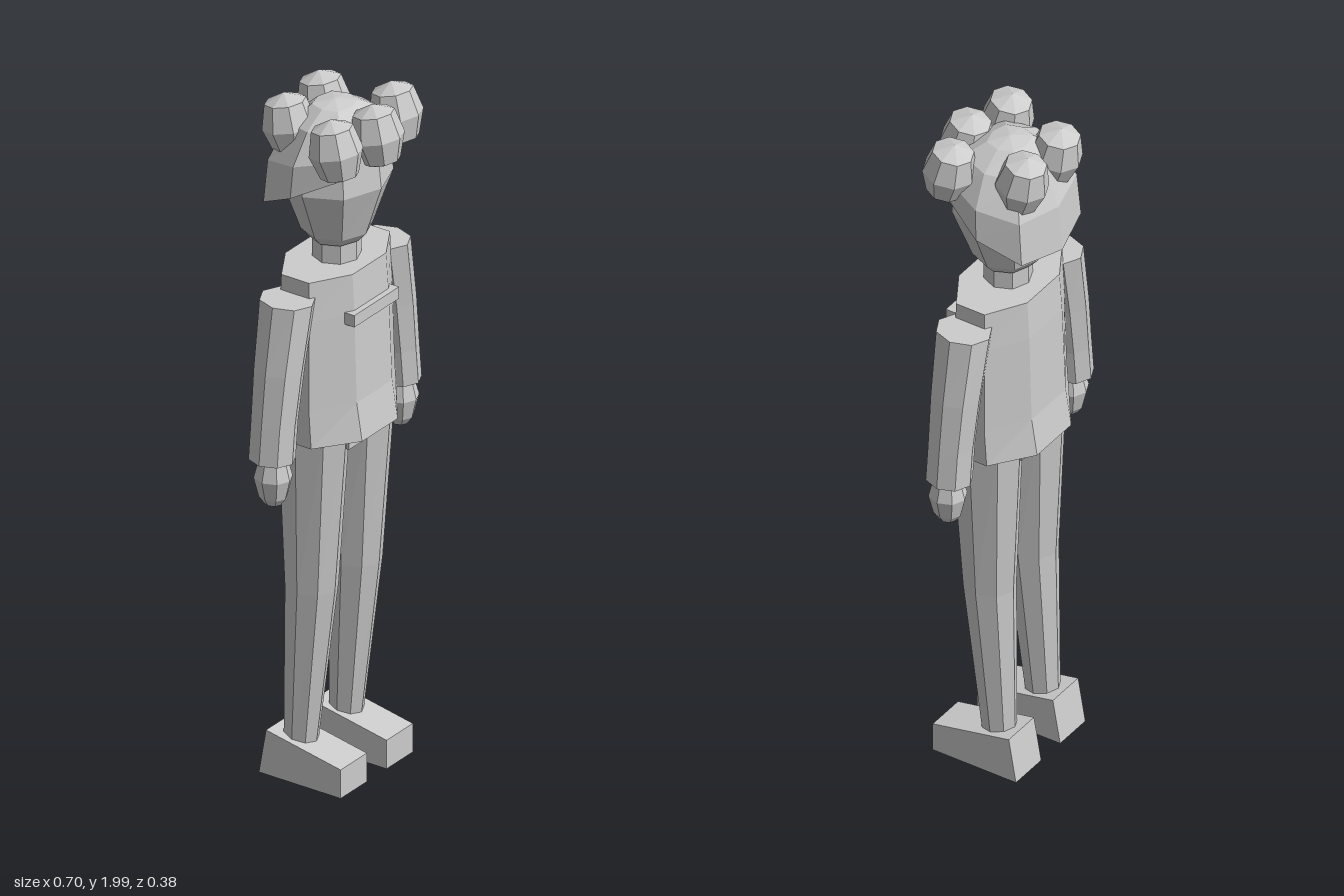
import * as THREE from 'three';

const grey = new THREE.MeshStandardMaterial({ color: 0xcccccc, flatShading: true, side: THREE.DoubleSide });
grey.name = 'plain grey';

function part(name, geometry, parent) {
  const mesh = new THREE.Mesh(geometry, grey);
  mesh.name = name;
  parent.add(mesh);
  return mesh;
}

// Eight-sided loft through rings listed from bottom to top.
// Each ring: [y, centreX, centreZ, radiusX, radiusZ]; slopes tilt a ring along z.
function loft(rings, { turn = 0, corner = Math.SQRT1_2, slopes = [], open = false } = {}) {
  const n = 8, pos = [], idx = [];
  rings.forEach(([y, cx, cz, rx, rz], r) => {
    for (let i = 0; i < n; i++) {
      const a = ((i + turn) / n) * Math.PI * 2;
      const k = !turn && i % 2 ? corner / Math.SQRT1_2 : 1;
      const dz = Math.cos(a) * rz * k;
      pos.push(cx + Math.sin(a) * rx * k, y + (slopes[r] || 0) * dz, cz + dz);
    }
  });
  for (let r = 0; r < rings.length - 1; r++) {
    for (let i = 0; i < n; i++) {
      const a = r * n + i, b = r * n + ((i + 1) % n);
      idx.push(a, b, b + n, a, b + n, a + n);
    }
  }
  const last = (rings.length - 1) * n;
  for (let i = 1; i < n - 1; i++) {
    if (!open) idx.push(0, i + 1, i);
    idx.push(last, last + i, last + i + 1);
  }
  const g = new THREE.BufferGeometry();
  g.setAttribute('position', new THREE.Float32BufferAttribute(pos, 3));
  g.setIndex(idx);
  const flat = g.toNonIndexed();
  flat.computeVertexNormals();
  return flat;
}

export function createModel() {
  const model = new THREE.Group();
  model.name = 'figure';

  // Torso, pelvis and chest strip
  part('torso', loft([
    [1.03, 0, -0.018, 0.212, 0.155],
    [1.14, 0, -0.018, 0.212, 0.136],
    [1.4, 0, -0.018, 0.204, 0.126],
    [1.515, 0, -0.018, 0.2, 0.118],
  ], { turn: 0.5 }), model);
  part('pelvis', new THREE.BoxGeometry(0.17, 0.06, 0.2), model).position.set(0, 1.025, -0.015);
  part('chestStrip', new THREE.BoxGeometry(0.205, 0.035, 0.04), model).position.set(0, 1.393, 0.095);

  // Neck and head
  part('neck', loft([
    [1.49, 0, -0.015, 0.068, 0.065],
    [1.6, 0, -0.015, 0.068, 0.065],
  ]), model);
  part('head', loft([
    [1.572, 0, -0.015, 0.075, 0.07],
    [1.6, 0, -0.015, 0.1, 0.095],
    [1.75, 0, -0.012, 0.162, 0.142],
    [1.86, 0, -0.012, 0.15, 0.13],
    [1.93, 0, -0.012, 0.09, 0.08],
  ]), model);

  // Hair cap with a rim sloping down to the back
  part('hairCap', loft([
    [1.748, 0, -0.035, 0.184, 0.152],
    [1.84, 0, -0.03, 0.178, 0.145],
    [1.925, 0, -0.022, 0.125, 0.11],
    [1.965, 0, -0.02, 0.06, 0.055],
    [1.975, 0, -0.02, 0.004, 0.004],
  ], { corner: 0.77, slopes: [0.53, 0.25, 0.1], open: true }), model);

  // Hair balls, all leaning slightly backwards
  const ball = new THREE.LatheGeometry([
    [0, -0.09], [0.052, -0.07], [0.074, -0.003], [0.057, 0.066], [0, 0.09],
  ].map(([x, y]) => new THREE.Vector2(x, y)), 8);
  [[0, 0.117], [0.138, 0.08], [-0.138, 0.08], [0.08, -0.113], [-0.08, -0.113]].forEach(([x, z]) => {
    const hair = part('hairBall', ball, model);
    hair.position.set(x, 1.905, z);
    hair.rotation.x = -0.19;
  });

  for (const s of [1, -1]) {
    const side = s > 0 ? 'left' : 'right';
    // Sleeved arm bowing outwards
    part(side + 'Arm', loft([
      [1.025, s * 0.288, -0.02, 0.06, 0.066],
      [1.13, s * 0.277, -0.02, 0.06, 0.066],
      [1.28, s * 0.255, -0.02, 0.064, 0.072],
      [1.47, s * 0.218, -0.02, 0.068, 0.08],
    ]), model);
    part(side + 'Hand', loft([
      [0.893, s * 0.289, -0.016, 0.022, 0.024],
      [0.915, s * 0.289, -0.016, 0.037, 0.04],
      [0.972, s * 0.289, -0.016, 0.051, 0.054],
      [1.04, s * 0.289, -0.016, 0.033, 0.036],
    ]), model);
    // Leg bending back below the knee
    part(side + 'Leg', loft([
      [0.1, s * 0.103, -0.057, 0.044, 0.049],
      [0.57, s * 0.101, -0.024, 0.068, 0.075],
      [1.05, s * 0.102, -0.016, 0.086, 0.105],
    ]), model);
    // Wedge shoe, drawn in side profile and extruded across
    const profile = new THREE.Shape([
      [-0.15, 0], [0.115, 0], [0.115, 0.085], [-0.127, 0.132],
    ].map(([x, y]) => new THREE.Vector2(x, y)));
    const shoe = new THREE.ExtrudeGeometry(profile, { depth: 0.12, bevelEnabled: false });
    shoe.translate(0, 0, -0.06).rotateY(-Math.PI / 2);
    part(side + 'Shoe', shoe, model).position.x = s * 0.105;
  }
  return model;
}
